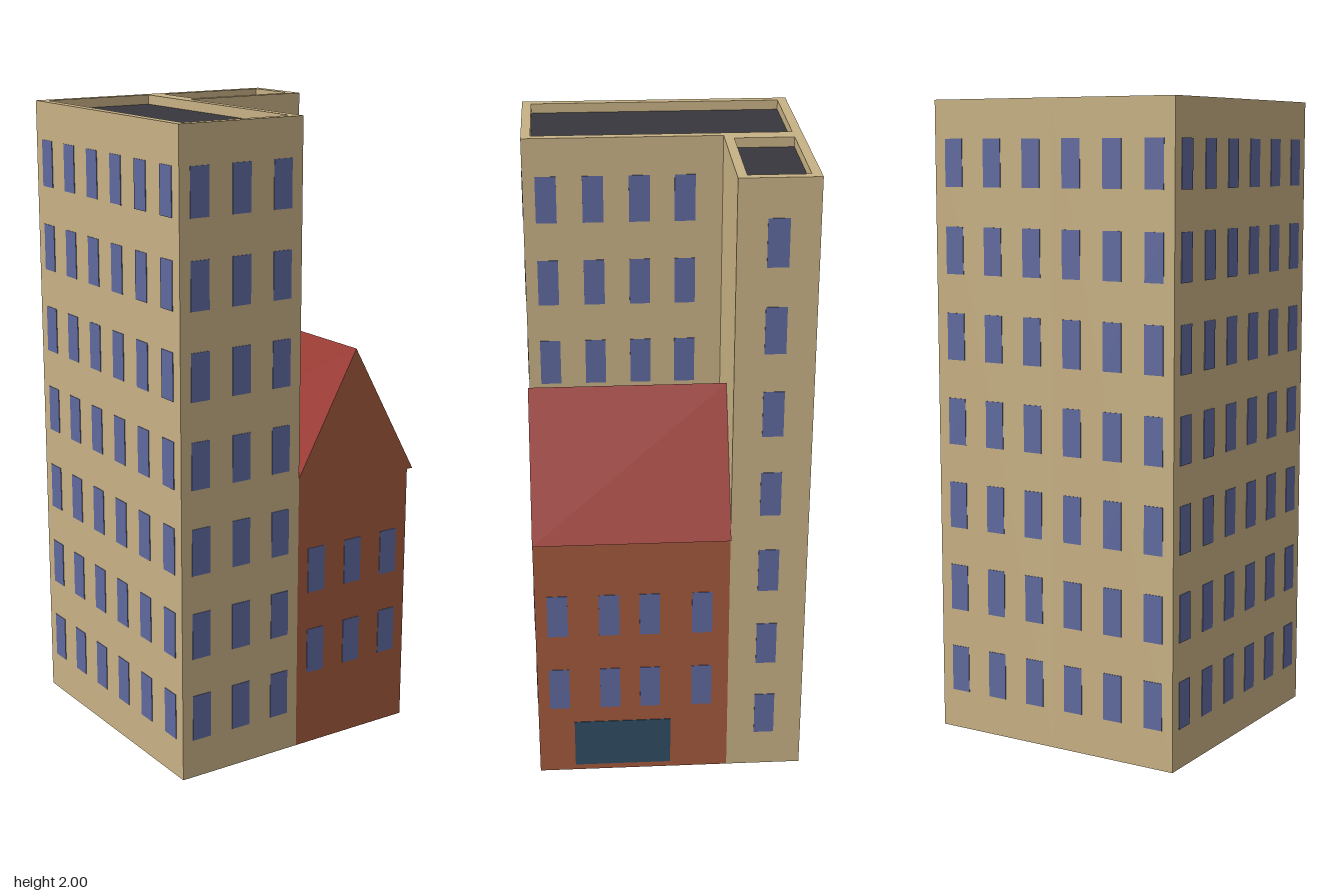
import * as THREE from 'three';

const mat = (name, color) => {
  const m = new THREE.MeshStandardMaterial({ color });
  m.name = name;
  return m;
};

export function createModel() {
  const root = new THREE.Group();
  root.name = 'cornerBuilding';
  const stone = mat('sandstone', 0xc8b285);
  const brick = mat('brick', 0xa35a3e);
  const tile = mat('roofTile', 0x9a3730);
  const glass = mat('windowGlass', 0x606a9f);
  const shutter = mat('garageDoor', 0x304e63);
  const tar = mat('flatRoof', 0x38373d);
  const WALL = 0.029, FLOOR = 0.2683;

  const add = (parent, name, geometry, material) => {
    const mesh = new THREE.Mesh(geometry, material);
    mesh.name = name;
    parent.add(mesh);
    return mesh;
  };
  const group = (name) => {
    const g = new THREE.Group();
    g.name = name;
    root.add(g);
    return g;
  };
  // Box given by its minimum and maximum on each axis
  const box = (parent, name, material, x0, x1, y0, y1, z0, z1) =>
    add(parent, name, new THREE.BoxGeometry(x1 - x0, y1 - y0, z1 - z0), material)
      .position.set((x0 + x1) / 2, (y0 + y1) / 2, (z0 + z1) / 2);

  // Four walls as one hollow rectangle, open below
  const rect = (Type, x0, x1, z0, z1) => new Type([
    new THREE.Vector2(x0, -z1), new THREE.Vector2(x1, -z1),
    new THREE.Vector2(x1, -z0), new THREE.Vector2(x0, -z0)]);
  const walls = (parent, material, height, x0, x1, z0, z1) => {
    const shape = rect(THREE.Shape, x0, x1, z0, z1);
    shape.holes.push(rect(THREE.Path, x0 + WALL, x1 - WALL, z0 + WALL, z1 - WALL));
    const geo = new THREE.ExtrudeGeometry(shape, { depth: height, bevelEnabled: false });
    add(parent, 'outerWalls', geo.rotateX(-Math.PI / 2), material);
    box(parent, 'groundFloorCeiling', material,
      x0 + WALL, x1 - WALL, FLOOR - 0.01, FLOOR, z0 + WALL, z1 - WALL);
  };

  // Thin plate on a wall: axis is the wall's normal, u runs along the wall
  const plate = (parent, name, material, axis, at, u, y, w, h) => {
    const t = 0.004;
    const geo = axis === 'x' ? new THREE.BoxGeometry(t, h, w) : new THREE.BoxGeometry(w, h, t);
    const mesh = add(parent, name, geo, material);
    if (axis === 'x') mesh.position.set(at, y, u);
    else mesh.position.set(u, y, at);
  };
  const windows = (parent, axis, at, columns, rows) => {
    for (const y of rows) for (const u of columns)
      plate(parent, 'window', glass, axis, at, u, y, 0.064, 0.147);
  };
  const storeys = Array.from({ length: 7 }, (_, i) => 0.198 + i * FLOOR);

  // Tower wings with sunken flat roofs
  const L = -0.438, M = -0.012, R = 0.415, B = -0.425, F = 0.425, S = -0.185;
  const tower = group('tower');
  for (const [x0, x1, z0, z1] of [[L, M, B, F], [M, R, B, S]]) {
    walls(tower, stone, 2, x0, x1, z0, z1);
    box(tower, 'flatRoof', tar, x0 + WALL, x1 - WALL, 1.955, 1.97, z0 + WALL, z1 - WALL);
  }
  windows(tower, 'z', F, [-0.37, -0.226, -0.082], storeys);
  windows(tower, 'z', B, [-0.37, -0.227, -0.084, 0.059, 0.202, 0.345], storeys);
  windows(tower, 'x', L, [-0.355, -0.213, -0.071, 0.071, 0.213, 0.355], storeys);
  windows(tower, 'x', R, [-0.305], storeys);
  windows(tower, 'x', M, [0.355, 0.212, 0.07, -0.07], storeys.slice(3));

  // Ground floor partitions with door gaps
  box(tower, 'partition', stone, L + WALL, -0.26, 0, FLOOR - 0.01, 0.04, 0.06);
  box(tower, 'partition', stone, -0.16, M - WALL, 0, FLOOR - 0.01, 0.04, 0.06);
  box(tower, 'partition', stone, L + WALL, -0.2, 0, FLOOR - 0.01, -0.2, -0.18);
  box(tower, 'partition', stone, 0.19, 0.21, 0, FLOOR - 0.01, B + WALL, -0.29);

  // Brick house in the corner
  const house = group('house');
  walls(house, brick, 0.855, M, R, S, F);
  windows(house, 'z', F, [0.058, 0.2, 0.343], [0.317, 0.589]);
  windows(house, 'x', R, [0.355, 0.193, 0.065, -0.1], [0.317, 0.589]);
  plate(house, 'garageDoor', shutter, 'x', R, 0.155, 0.104, 0.31, 0.168);
  box(house, 'partition', brick, 0.19, 0.21, 0, FLOOR - 0.01, 0.15, F - WALL);
  box(house, 'partition', brick, M + WALL, 0.14, 0, FLOOR - 0.01, 0.1, 0.12);
  box(house, 'partition', brick, 0.25, R - WALL, 0, FLOOR - 0.01, 0.1, 0.12);

  // Gabled roof: brick gable ends, tiled slopes and a right eave
  const gable = new THREE.Shape([
    new THREE.Vector2(M, 0.855), new THREE.Vector2(0.437, 0.855),
    new THREE.Vector2(0.2, 1.28), new THREE.Vector2(M, 0.898)]);
  const roof = new THREE.ExtrudeGeometry(gable, { depth: F - S, bevelEnabled: false });
  add(house, 'gabledRoof', roof.translate(0, 0, S), [brick, tile]);

  return root;
}
